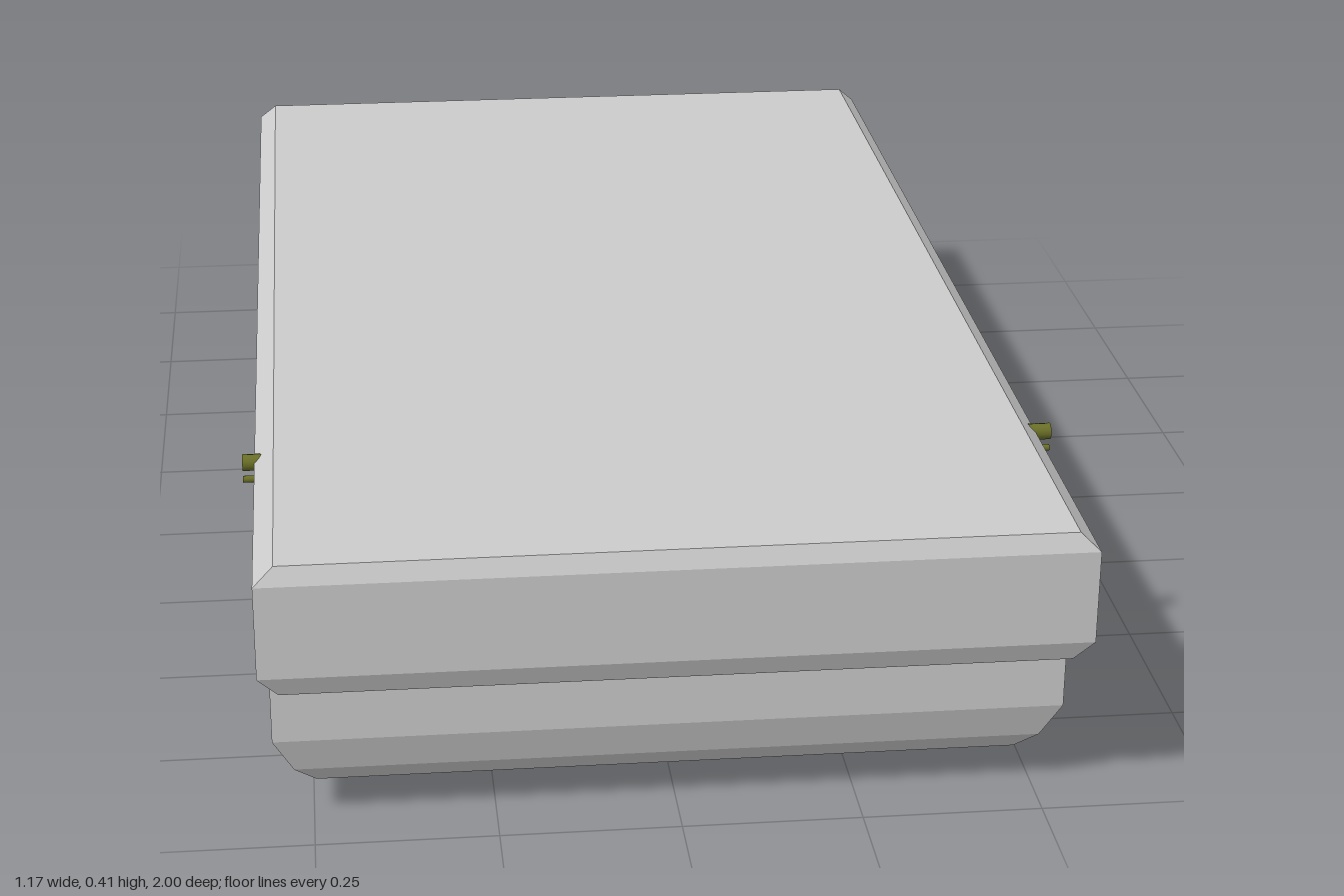
import * as THREE from 'three';

const grey = new THREE.MeshStandardMaterial({ color: 0xcccccc, flatShading: true });
const olive = new THREE.MeshStandardMaterial({ color: 0x6b7028, side: THREE.DoubleSide });

// Closed solid from stacked rectangles, bottom to top: [y, xMin, xMax, zHalf]
function stackedBox(name, levels) {
  const pos = [];
  const rings = levels.map(([y, x0, x1, z]) => [[x0, y, z], [x1, y, z], [x1, y, -z], [x0, y, -z]]);
  const quad = (a, b, c, d) => pos.push(...a, ...b, ...c, ...a, ...c, ...d);
  for (let i = 0; i < rings.length - 1; i++) {
    for (let k = 0; k < 4; k++) {
      const n = (k + 1) % 4;
      quad(rings[i][k], rings[i][n], rings[i + 1][n], rings[i + 1][k]);
    }
  }
  const [a, b, c, d] = rings[0];
  quad(d, c, b, a);
  quad(...rings[rings.length - 1]);
  const geo = new THREE.BufferGeometry();
  geo.setAttribute('position', new THREE.Float32BufferAttribute(pos, 3));
  geo.computeVertexNormals();
  const mesh = new THREE.Mesh(geo, grey);
  mesh.name = name;
  return mesh;
}

// Open round pin between two points
function pin(name, radius, from, to) {
  const a = new THREE.Vector3(...from), b = new THREE.Vector3(...to);
  const dir = b.clone().sub(a);
  const geo = new THREE.CylinderGeometry(radius, radius, dir.length(), 12, 1, true);
  const mesh = new THREE.Mesh(geo, olive);
  mesh.position.copy(a).add(b).multiplyScalar(0.5);
  mesh.quaternion.setFromUnitVectors(new THREE.Vector3(0, 1, 0), dir.normalize());
  mesh.name = name;
  return mesh;
}

export function createModel() {
  const model = new THREE.Group();
  model.name = 'liddedCase';

  // Lower tray with rounded-under sides
  model.add(stackedBox('tray', [
    [0.03, -0.47, 0.455, 0.85],
    [0.042, -0.495, 0.48, 0.895],
    [0.078, -0.525, 0.507, 0.93],
    [0.13, -0.553, 0.535, 0.945],
    [0.226, -0.553, 0.535, 0.945],
  ]));

  // Overhanging lid with bevelled rims
  model.add(stackedBox('lid', [
    [0.225, -0.54, 0.533, 0.988],
    [0.255, -0.568, 0.56, 1],
    [0.39, -0.568, 0.56, 1],
    [0.415, -0.54, 0.533, 0.988],
  ]));

  const pins = new THREE.Group();
  pins.name = 'pins';
  model.add(pins);

  // Side pins, mirrored: [name, radius, y, z, inner x, tip on left, tip on right]
  const sidePins = [
    ['lidPin', 0.012, 0.387, 0.59, 0.5, 0.583, 0.585],
    ['lidThinPin', 0.005, 0.361, 0.59, 0.5, 0.583, 0.585],
    ['trayPin', 0.013, 0.077, 0.455, 0.45, 0.538, 0.56],
    ['trayThinPin', 0.005, 0.057, 0.31, 0.45, 0.538, 0.56],
    ['trayUpperThinPin', 0.005, 0.107, 0.31, 0.45, 0.538, 0.56],
  ];
  for (const [name, r, y, z, inner, left, right] of sidePins) {
    pins.add(pin(name + 'Left', r, [inner, y, z], [left, y, z]));
    pins.add(pin(name + 'Right', r, [-inner, y, z], [-right, y, z]));
  }
  pins.add(pin('trayUpperPinRight', 0.013, [-0.45, 0.122, 0.455], [-0.56, 0.122, 0.455]));

  // Pins under the tray: [radius, x, z, tip y]
  const bottomPins = [
    [0.012, -0.35, 0.31, 0],
    [0.005, -0.375, 0.31, 0.006],
    [0.012, 0.035, 0.45, 0],
    [0.005, 0.01, 0.45, 0.01],
    [0.005, 0.33, 0.31, 0.017],
  ];
  for (const [r, x, z, y] of bottomPins) {
    pins.add(pin('bottomPin', r, [x, y, z], [x, 0.05, z]));
  }
  return model;
}
